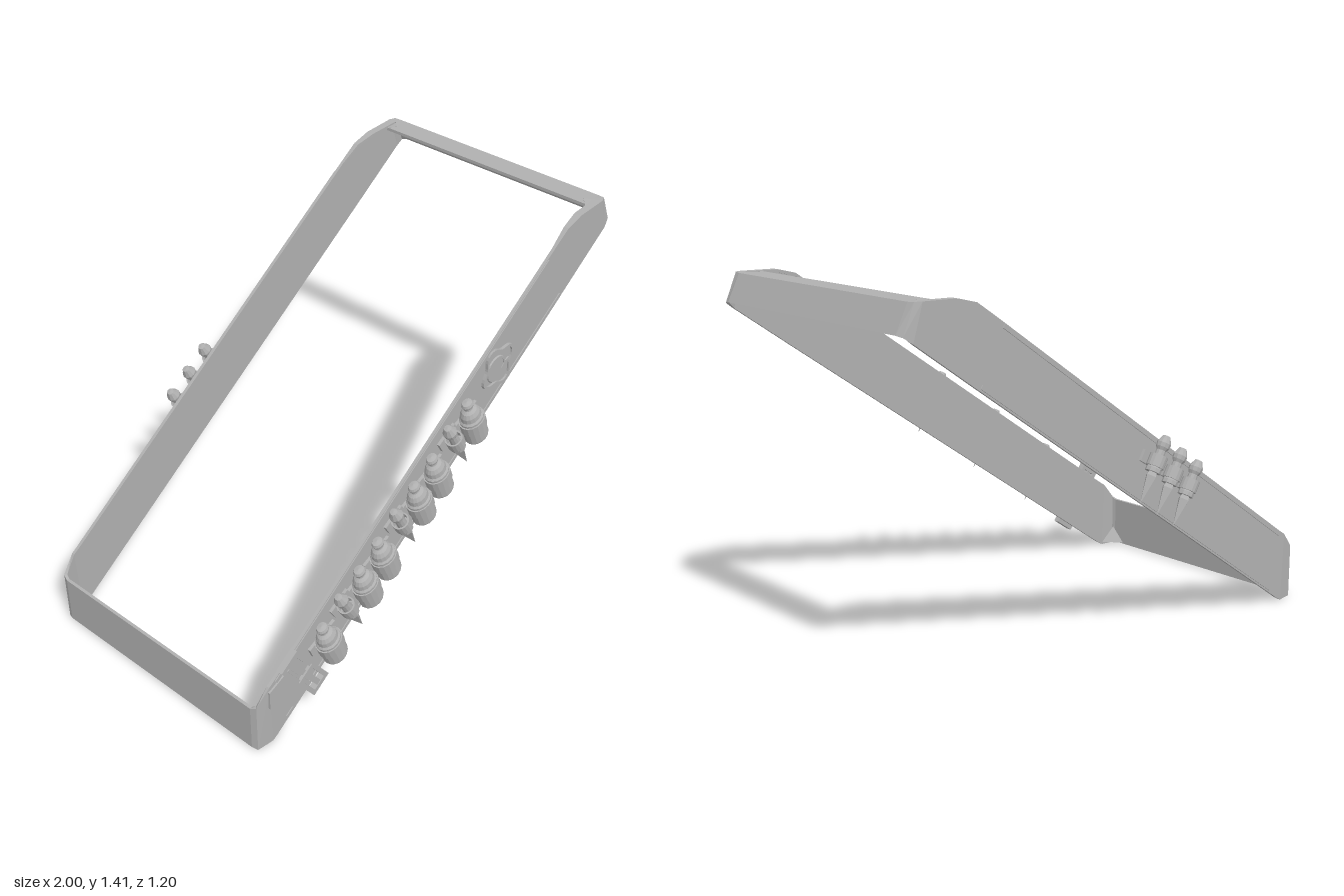
import * as THREE from 'three';

const grey = new THREE.MeshStandardMaterial({ color: 0xb0b0b0, side: THREE.DoubleSide, flatShading: true });
grey.name = 'grey';
const smoothGrey = grey; // one colour for the whole model

const SLOPE = 0.598; // lean of the strap
const MID_Z = -0.008; // centre plane between the two straps
const HALF_Z = 0.518;

function add(parent, name, geometry, x = 0, y = 0, z = 0) {
  const mesh = new THREE.Mesh(geometry, smoothGrey);
  mesh.name = name;
  mesh.position.set(x, y, z);
  parent.add(mesh);
  return mesh;
}

// Closed strap loop: each station is a lower point, an upper point, an inward direction and a flange width
function strapGeometry() {
  const t = 0.012;
  const half = [
    // ax, ay, bx, by, z, nx, nz, flange
    [-1, 0.005, -1, 0.205, 0.485, 1, 0, t],
    [-0.992, 0, -0.992, 0.215, 0.508, 0.7, -0.7, t],
    [-0.925, 0, -0.935, 0.28, HALF_Z, 0, -1, t],
    [-0.9, 0.014, -0.9, 0.302, HALF_Z, 0, -1, t],
    [0.62, 1.05, 0.62, 1.335, HALF_Z, 0, -1, t],
    [0.72, 1.118, 0.7, 1.388, HALF_Z, 0, -1, 0.02],
    [0.81, 1.18, 0.78, 1.408, HALF_Z, 0, -1, 0.03],
    [0.96, 1.283, 0.92, 1.412, HALF_Z, 0, -1, 0.032],
    [0.992, 1.305, 0.945, 1.412, 0.508, -0.7, -0.7, 0.08],
    [1, 1.31, 0.95, 1.41, 0.48, -1, 0, 0.09],
  ];
  const back = half.map(([ax, ay, bx, by, z, nx, nz, f]) => [ax, ay, bx, by, -z, nx, -nz, f]).reverse();
  const rings = [...half, ...back].map(([ax, ay, bx, by, z, nx, nz, f]) => [
    [ax, ay, z],
    [bx, by, z],
    [bx + nx * f, by, z + nz * f],
    [bx + nx * f, by - t, z + nz * f],
    [bx + nx * t, by - t, z + nz * t],
    [ax + nx * t, ay, z + nz * t],
  ]);
  const pos = [];
  rings.forEach((a, i) => {
    const b = rings[(i + 1) % rings.length];
    for (let j = 0; j < 6; j++) {
      const k = (j + 1) % 6;
      pos.push(...a[j], ...b[j], ...b[k], ...a[j], ...b[k], ...a[k]);
    }
  });
  const g = new THREE.BufferGeometry();
  g.setAttribute('position', new THREE.Float32BufferAttribute(pos, 3));
  g.computeVertexNormals();
  return g;
}

function plate(points, depth, holes = []) {
  const shape = new THREE.Shape(points.map(([x, y]) => new THREE.Vector2(x, y)));
  shape.holes = holes.map(h => new THREE.Path(h.map(([x, y]) => new THREE.Vector2(x, y))));
  return new THREE.ExtrudeGeometry(shape, { depth, bevelEnabled: false });
}

const rect = (w, h, cx = 0, cy = 0) => [
  [cx - w / 2, cy - h / 2], [cx + w / 2, cy - h / 2], [cx + w / 2, cy + h / 2], [cx - w / 2, cy + h / 2],
];

const lathe = (profile, sides) => new THREE.LatheGeometry(profile.map(([r, y]) => new THREE.Vector2(r, y)), sides);

// Retaining loop with side tabs stitched to the strap
function addLoop(parent, y, radius, width, side) {
  add(parent, 'loop', lathe([[radius - 0.006, y], [radius, y], [radius, y + 0.045], [radius - 0.006, y + 0.045]], 16));
  add(parent, 'loopTab', new THREE.BoxGeometry(width, 0.045, 0.012), 0, y + 0.0225, -side * 0.034);
}

function makeBottle() {
  const g = new THREE.Group();
  g.name = 'bottle';
  add(g, 'bottleBody', lathe([
    [0, 0], [0.04, 0], [0.042, 0.006], [0.042, 0.115], [0.036, 0.122], [0.034, 0.142], [0.026, 0.158],
    [0.015, 0.166], [0.013, 0.174], [0.019, 0.18], [0.021, 0.19], [0.017, 0.2], [0, 0.204],
  ], 16));
  addLoop(g, 0.06, 0.046, 0.118, 1);
  g.scale.x = 1.2;
  return g;
}

function makeDagger(side) {
  const g = new THREE.Group();
  g.name = 'dagger';
  add(g, 'blade', lathe([[0, 0], [0.024, 0.11], [0.016, 0.135], [0, 0.135]], 4));
  add(g, 'handle', lathe([
    [0, 0.125], [0.03, 0.125], [0.03, 0.14], [0.02, 0.145], [0.018, 0.21], [0.025, 0.222],
    [0.027, 0.238], [0.019, 0.255], [0.014, 0.266], [0, 0.268],
  ], 10));
  addLoop(g, 0.145, 0.034, 0.1, side);
  return g;
}

export function createModel() {
  const model = new THREE.Group();
  model.name = 'bandolier';

  add(model, 'strap', strapGeometry(), 0, 0, MID_Z);

  // Raised hems along both edges, front and back
  for (const side of [1, -1]) {
    for (const [name, x, y] of [['lowerHem', -0.083, 0.589], ['upperHem', -0.157, 0.793]]) {
      const hem = add(model, name, new THREE.BoxGeometry(1.86, 0.016, 0.006), x, y, MID_Z + side * (HALF_Z + 0.001));
      if (name === 'upperHem') hem.scale.x = 0.97;
      hem.rotation.z = SLOPE;
    }
    // Folded gussets in the lower corners
    const s = side;
    const fold = new THREE.BufferGeometry();
    fold.setAttribute('position', new THREE.Float32BufferAttribute(
      [-0.988, 0.01, s * 0.435, -0.925, 0.01, s * 0.505, -0.985, 0.075, s * 0.495], 3));
    fold.computeVertexNormals();
    add(model, 'cornerFold', fold, 0, 0, MID_Z);
  }

  // Row of bottles and daggers on the front
  for (let i = 0; i < 9; i++) {
    const isDagger = i % 3 === 1;
    const item = isDagger ? makeDagger(1) : makeBottle();
    const x = -0.635 + i * 0.0975, y = 0.247 + i * 0.0666;
    item.position.set(isDagger ? x + 0.048 : x, isDagger ? y - 0.032 : y, 0.552);
    item.rotation.z = isDagger ? 0.52 : 0.38;
    model.add(item);
  }

  // Three daggers on the back
  for (let i = 0; i < 3; i++) {
    const item = makeDagger(-1);
    item.position.set(-0.205 + i * 0.09, 0.47 + i * 0.061, -0.569);
    item.rotation.z = 0.54;
    model.add(item);
  }

  // Strap end and buckle
  add(model, 'strapEnd', plate(
    [[-0.84, 0.3], [-0.94, 0.26], [-0.94, 0.18], [-0.9, 0.12], [-0.82, 0.1], [-0.73, 0.15]], 0.008), 0, 0, 0.509);
  const buckle = new THREE.Group();
  buckle.name = 'buckle';
  buckle.position.set(-0.782, 0.25, 0.515);
  buckle.rotation.z = SLOPE;
  add(buckle, 'buckleFrame', plate(rect(0.094, 0.29), 0.026, [rect(0.058, 0.25).reverse()]));
  add(buckle, 'buckleBar', new THREE.BoxGeometry(0.022, 0.26, 0.022), 0, 0, 0.012);
  add(buckle, 'bucklePin', new THREE.BoxGeometry(0.08, 0.016, 0.012), 0, 0, 0.024);
  model.add(buckle);

  // Lobed badge with a raised rim, disc and small star
  const lobes = (scale) => Array.from({ length: 48 }, (_, i) => {
    const a = (i / 48) * Math.PI * 2;
    const r = scale * (0.086 + 0.014 * Math.cos(4 * a));
    return [r * Math.cos(a), r * Math.sin(a)];
  });
  const badge = new THREE.Group();
  badge.name = 'badge';
  badge.position.set(0.302, 0.985, 0.508);
  badge.rotation.z = SLOPE;
  add(badge, 'badgePlate', plate(lobes(0.97), 0.006));
  add(badge, 'badgeRim', plate(lobes(1), 0.014, [lobes(0.87).reverse()]));
  add(badge, 'badgeDisc', new THREE.CylinderGeometry(0.052, 0.056, 0.006, 24).rotateX(Math.PI / 2), -0.012, 0, 0.008);
  const star = Array.from({ length: 8 }, (_, i) => {
    const r = i % 2 ? 0.008 : 0.026, a = (i * Math.PI) / 4;
    return [r * Math.cos(a), r * Math.sin(a)];
  });
  add(badge, 'badgeStar', plate(star, 0.005), 0.032, -0.02, 0.009);
  model.add(badge);

  return model;
}
